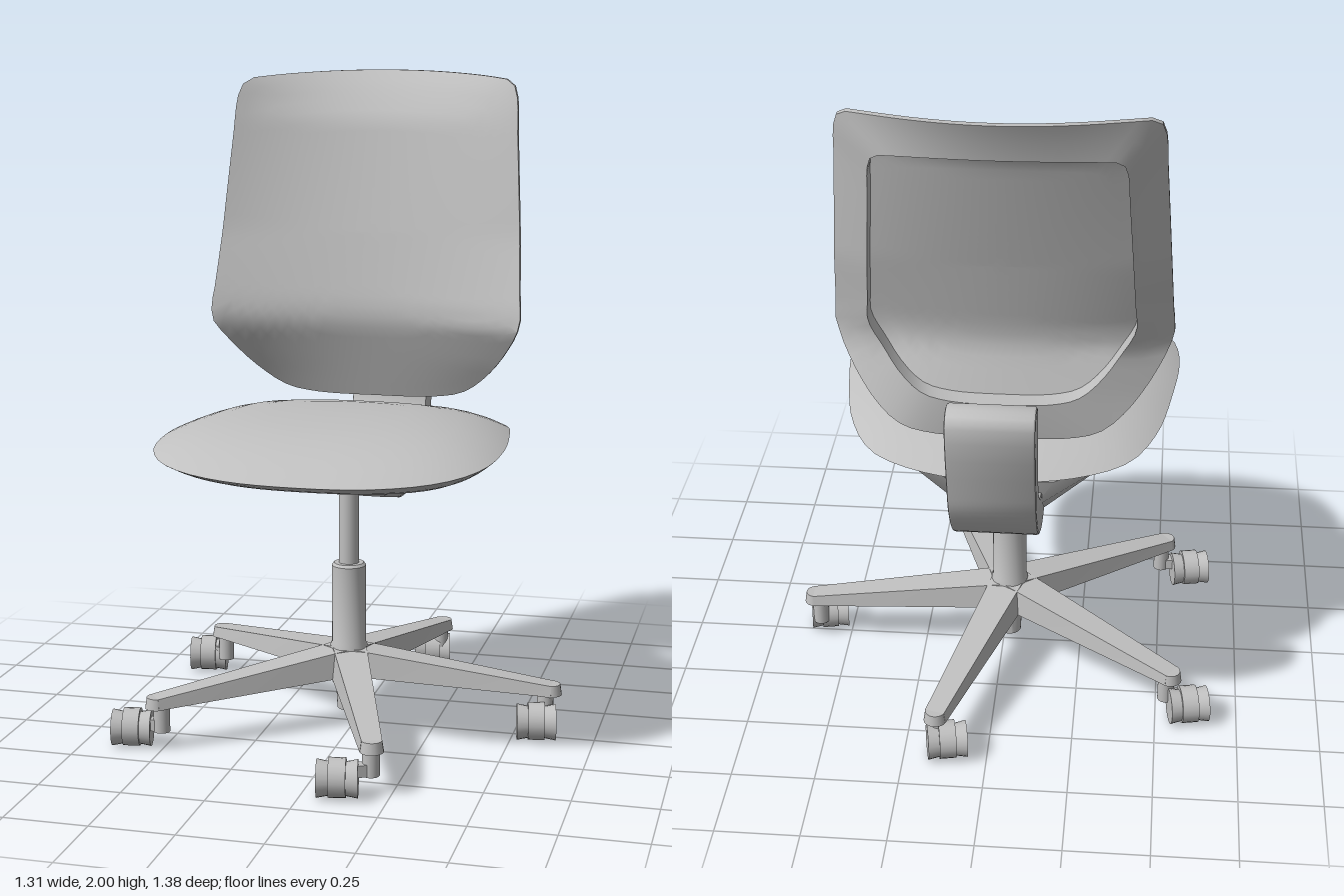
import * as THREE from 'three';
import { toCreasedNormals } from 'three/addons/utils/BufferGeometryUtils.js';

const grey = new THREE.MeshStandardMaterial({ color: 0xc0c0c0 });
grey.name = 'grey plastic and fabric';

const lerp = THREE.MathUtils.lerp;

function add(parent, name, geometry, x = 0, y = 0, z = 0) {
  const mesh = new THREE.Mesh(geometry, grey);
  mesh.name = name;
  mesh.position.set(x, y, z);
  parent.add(mesh);
  return mesh;
}

// Closed skin over rows of points, each row a loop of the same length
function skin(rows, crease = 0.6) {
  const n = rows[0].length, index = [];
  for (let r = 0; r < rows.length - 1; r++) {
    for (let c = 0; c < n; c++) {
      const d = (c + 1) % n;
      const a = r * n + c, b = (r + 1) * n + c, e = (r + 1) * n + d, f = r * n + d;
      index.push(a, b, e, a, e, f);
    }
  }
  const geo = new THREE.BufferGeometry();
  geo.setAttribute('position', new THREE.Float32BufferAttribute(rows.flat(2), 3));
  geo.setIndex(index);
  return toCreasedNormals(geo, crease);
}

// Mirrors a half outline and samples it as a smooth loop
function loop(half, count) {
  const mirrored = half.slice(1, -1).reverse().map(([x, y]) => [-x, y]);
  const pts = [...half, ...mirrored].map(([x, y]) => new THREE.Vector3(x, y, 0));
  return new THREE.CatmullRomCurve3(pts, true).getSpacedPoints(count).slice(0, -1);
}

// Linear lookup in a table of [key, value, value]
function lookup(table, key, col) {
  let i = 0;
  while (i < table.length - 2 && key > table[i + 1][0]) i++;
  const [a, b] = [table[i], table[i + 1]];
  return lerp(a[col], b[col], THREE.MathUtils.clamp((key - a[0]) / (b[0] - a[0]), 0, 1));
}

function seatGeometry() {
  const outline = loop([[0, 0.615], [0.2, 0.6], [0.35, 0.55], [0.44, 0.48], [0.495, 0.38], [0.515, 0.22],
    [0.495, 0], [0.45, -0.22], [0.37, -0.36], [0.2, -0.44], [0, -0.46]], 64);
  const mid = 0.08;
  const rimY = z => 0.935 - 0.05 * ((z - mid) / 0.54) ** 2;
  const row = (s, height) => outline.map(p => {
    const z = mid + (p.y - mid) * s;
    return [p.x * s, height(rimY(z)), z];
  });
  const steps = [0, 0.2, 0.4, 0.55, 0.7, 0.8, 0.88, 0.94, 0.98, 1];
  const top = steps.map(s => row(s, rim => rim + 0.065 * (1 - s ** 4)));
  const under = steps.slice(0, -1).reverse().map(s => row(s, rim => 0.822 + (rim - 0.822) * s ** 5));
  return skin([...top, ...under], 0.9);
}

// Backrest: curved front, bevelled rear frame and a recessed panel
function backrestGeometry() {
  const outline = loop([[0, 0.975], [0.2, 0.98], [0.29, 1.0], [0.37, 1.06], [0.45, 1.16], [0.49, 1.24],
    [0.485, 1.35], [0.455, 1.8], [0.445, 1.93], [0.425, 1.97], [0.38, 1.98], [0.2, 1.995], [0, 2]], 96);
  // height, centre depth, forward wrap of the sides
  const bend = [[0.97, -0.345, 0], [1.1, -0.3, 0.05], [1.22, -0.258, 0.08], [1.28, -0.26, 0.075],
    [1.5, -0.31, 0.06], [1.85, -0.4, 0.09], [1.95, -0.465, 0.135], [2, -0.51, 0.16]];
  const row = (s, back) => outline.map(p => {
    const x = p.x * s, y = 1.5 + (p.y - 1.5) * s;
    return [x, y, lookup(bend, y, 1) + lookup(bend, y, 2) * (x / 0.47) ** 2 - back];
  });
  const rows = [];
  for (let i = 0; i <= 16; i++) rows.push(row(i / 16, 0));
  rows.push(row(1, 0.022), row(0.89, 0.05), row(0.78, 0.075));
  for (let i = 12; i >= 0; i--) rows.push(row(0.78 * i / 12, 0.012));
  return skin(rows);
}

// Bracket under the seat: z, half width at the top, bottom height, half width at the bottom
function bracketGeometry() {
  const stations = [[0.24, 0.02, 0.825, 0.01], [0.12, 0.18, 0.785, 0.08], [-0.02, 0.31, 0.72, 0.1],
    [-0.16, 0.33, 0.688, 0.12], [-0.28, 0.3, 0.685, 0.12], [-0.38, 0.16, 0.75, 0.1], [-0.4, 0.02, 0.82, 0.01]];
  return skin(stations.map(([z, wt, yb, wb]) =>
    [[-wt, 0.842, z], [-wb, yb, z], [wb, yb, z], [wt, 0.842, z]]));
}

// Curved arm rising behind the seat, drawn in side profile
function armGeometry() {
  const profile = [[-0.07, 0.745], [-0.15, 0.69], [-0.28, 0.677], [-0.39, 0.682], [-0.52, 0.75], [-0.61, 0.865],
    [-0.64, 0.95], [-0.685, 1.18], [-0.66, 1.217], [-0.6, 1.217], [-0.575, 1.18], [-0.55, 0.95],
    [-0.52, 0.89], [-0.44, 0.825], [-0.36, 0.802], [-0.15, 0.805]];
  const curve = new THREE.CatmullRomCurve3(profile.map(([z, y]) => new THREE.Vector3(z, y, 0)), true);
  const shape = new THREE.Shape(curve.getPoints(64).slice(0, -1).map(p => new THREE.Vector2(p.x, p.y)));
  const geo = new THREE.ExtrudeGeometry(shape, {
    depth: 0.234, bevelEnabled: true, bevelThickness: 0.008, bevelSize: 0.008, bevelOffset: -0.008, bevelSegments: 2,
  });
  geo.translate(0, 0, -0.117);
  geo.rotateY(-Math.PI / 2);
  return toCreasedNormals(geo, 0.6);
}

// Leg tapering in width and height towards its tip
function legGeometry(length) {
  const geo = new THREE.BoxGeometry(1, 1, 1, 4, 1, 1);
  const pos = geo.attributes.position;
  for (let i = 0; i < pos.count; i++) {
    const t = pos.getX(i) + 0.5;
    const y = pos.getY(i) > 0 ? lerp(0.25, 0.165, t) : lerp(0.165, 0.132, t);
    const taper = pos.getY(i) > 0 ? 0.85 : 1;
    pos.setXYZ(i, t * length, y, pos.getZ(i) * lerp(0.125, 0.07, t) * taper);
  }
  return toCreasedNormals(geo, 0.4);
}

function makeCaster() {
  const caster = new THREE.Group();
  caster.name = 'caster';
  for (const side of [-1, 1]) {
    const wheel = new THREE.CylinderGeometry(side > 0 ? 0.055 : 0.046, side > 0 ? 0.046 : 0.055, 0.046, 20);
    wheel.rotateZ(-Math.PI / 2);
    add(caster, 'casterWheel', wheel, side * 0.036, 0, 0);
  }
  const hood = new THREE.CylinderGeometry(0.06, 0.06, 0.05, 20);
  hood.rotateZ(Math.PI / 2);
  hood.scale(1, 0.95, 0.95);
  add(caster, 'casterHood', hood, 0, 0.003, 0);
  return caster;
}

export function createModel() {
  const chair = new THREE.Group();
  chair.name = 'officeChair';
  const body = new THREE.Group();
  body.name = 'chairBody';
  body.position.x = -0.02;
  chair.add(body);

  add(body, 'seat', seatGeometry());
  add(body, 'backrest', backrestGeometry());
  add(body, 'seatBracket', bracketGeometry());
  add(body, 'backArm', armGeometry());

  // Height lever
  const lever = new THREE.CylinderGeometry(0.022, 0.022, 0.22, 14);
  lever.rotateZ(Math.PI / 2);
  add(body, 'heightLever', lever, -0.12, 0.77, -0.02);

  // Column and hub
  add(body, 'gasLift', new THREE.CylinderGeometry(0.031, 0.031, 0.28, 20), 0, 0.62, 0);
  const sleeve = [[0, 0.045], [0.036, 0.045], [0.04, 0.12], [0.052, 0.13], [0.058, 0.25], [0.053, 0.26],
    [0.053, 0.505], [0.046, 0.513], [0, 0.513]].map(([x, y]) => new THREE.Vector2(x, y));
  add(body, 'columnSleeve', toCreasedNormals(new THREE.LatheGeometry(sleeve, 24), 0.6));

  // Five legs, each with a swivelled caster
  const casterSpots = [[0.595, 0.03], [0.14, -0.605], [-0.58, -0.375], [-0.58, 0.375], [0.125, 0.63]];
  casterSpots.forEach(([cx, cz], i) => {
    const angle = THREE.MathUtils.degToRad(2 + 72 * i);
    const leg = new THREE.Group();
    leg.name = 'leg';
    leg.rotation.y = angle;
    add(leg, 'legBeam', legGeometry(0.635));
    add(leg, 'legTip', new THREE.CylinderGeometry(0.03, 0.035, 0.034, 18), 0.63, 0.148, 0);
    body.add(leg);

    const sx = 0.615 * Math.cos(angle), sz = -0.615 * Math.sin(angle);
    add(body, 'casterStem', new THREE.CylinderGeometry(0.025, 0.025, 0.09, 14), sx, 0.1, sz);
    const fork = add(body, 'casterFork',
      new THREE.BoxGeometry(Math.hypot(cx - sx, cz - sz), 0.035, 0.035), (sx + cx) / 2, 0.075, (sz + cz) / 2);
    fork.rotation.y = Math.atan2(sz - cz, cx - sx);

    const caster = makeCaster();
    caster.position.set(cx, 0.057, cz);
    caster.rotation.y = 0.2;
    body.add(caster);
  });

  return chair;
}
